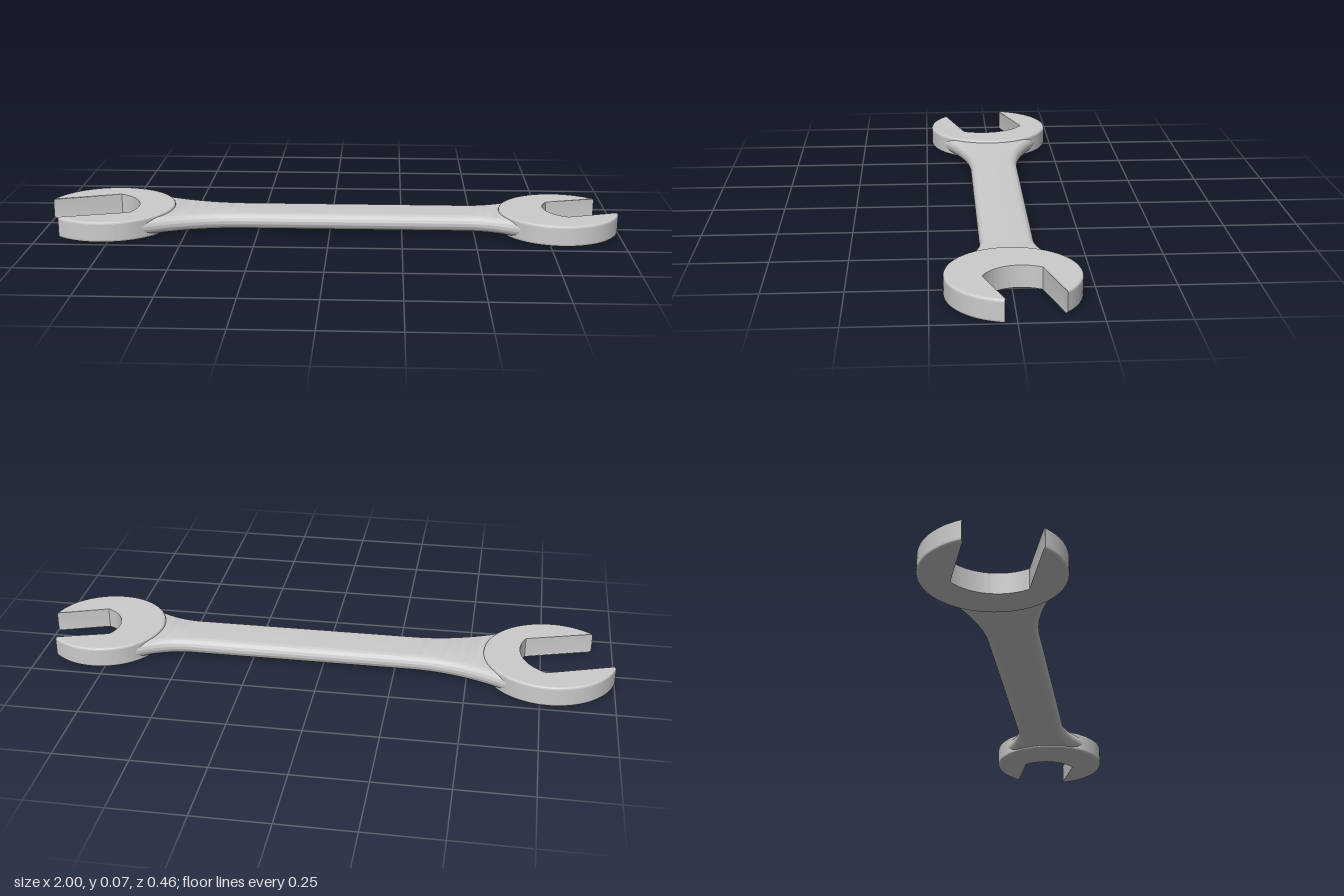
import * as THREE from 'three';
import { toCreasedNormals } from 'three/addons/utils/BufferGeometryUtils.js';

const THICK = 0.072, MID = THICK / 2, FILLET = 0.008;
const material = new THREE.MeshStandardMaterial({ color: 0xcccccc });

function editVertices(geometry, rule) {
  const p = geometry.attributes.position, v = new THREE.Vector3();
  for (let i = 0; i < p.count; i++) {
    rule(v.fromBufferAttribute(p, i));
    p.setXYZ(i, v.x, v.y, v.z);
  }
  return geometry;
}

function makeMesh(name, geometry, crease) {
  const mesh = new THREE.Mesh(toCreasedNormals(geometry, crease), material);
  mesh.name = name;
  return mesh;
}

// Open jaw disc facing +x: radius, half gap, throat corner position and throat depth
function makeHead(name, radius, gap, corner, sag) {
  const a = Math.asin(gap / radius);
  const rho = (gap * gap + sag * sag) / (2 * sag);
  const b = Math.atan2(gap, sag - rho);
  const shape = new THREE.Shape();
  shape.absarc(0, 0, radius, a, 2 * Math.PI - a, false);
  shape.lineTo(corner, -gap);
  shape.absarc(corner - sag + rho, 0, rho, 2 * Math.PI - b, b, true);
  shape.closePath();

  // Layers of the extrusion become the rounded outer rim
  const layers = [];
  for (let i = 0; i <= 3; i++) {
    const t = (i / 3) * Math.PI / 2;
    layers.push({ y: FILLET * (1 - Math.cos(t)), inset: FILLET * (1 - Math.sin(t)) });
  }
  for (let i = 3; i >= 0; i--) layers.push({ y: THICK - layers[i].y, inset: layers[i].inset });

  const steps = layers.length - 1;
  const geometry = new THREE.ExtrudeGeometry(shape, { depth: steps, steps, bevelEnabled: false, curveSegments: 72 });
  editVertices(geometry, v => {
    const layer = layers[Math.round(v.z)];
    const r = Math.hypot(v.x, v.y);
    if (r > radius - 0.001) {
      v.x *= 1 - layer.inset / r;
      v.y *= 1 - layer.inset / r;
    }
    v.z = layer.y;
  });
  geometry.rotateX(Math.PI / 2).translate(0, THICK, 0);
  return makeMesh(name, geometry, 0.25);
}

// Bar with rounded edges, flaring into both heads
function makeHandle() {
  const x0 = -0.65, x1 = 0.65, r = 0.028, half = 0.087;
  const section = new THREE.Shape();
  section.absarc(half - r, 0, r, -Math.PI / 2, Math.PI / 2, false);
  section.absarc(r - half, 0, r, Math.PI / 2, Math.PI * 1.5, false);
  section.closePath();
  const geometry = new THREE.ExtrudeGeometry(section, { depth: x1 - x0, steps: 65, bevelEnabled: false, curveSegments: 16 });
  geometry.rotateY(Math.PI / 2).translate(x0, MID, 0);
  editVertices(geometry, v => {
    const left = Math.max(0, -0.3 - v.x), right = Math.max(0, v.x - 0.47);
    v.z += Math.sign(v.z) * (0.8 * left * left + 1.9 * right * right);
  });
  return makeMesh('handle', geometry, 0.5);
}

export function createModel() {
  const group = new THREE.Group();
  group.name = 'openEndWrench';
  const tilt = THREE.MathUtils.degToRad(17.5);

  const large = makeHead('largeJaw', 0.228, 0.121, -0.051, 0.05);
  large.position.x = -0.78;
  large.rotation.y = tilt + Math.PI;

  const small = makeHead('smallJaw', 0.207, 0.096, -0.003, 0.045);
  small.position.x = 0.795;
  small.rotation.y = tilt;

  group.add(makeHandle(), large, small);
  return group;
}
